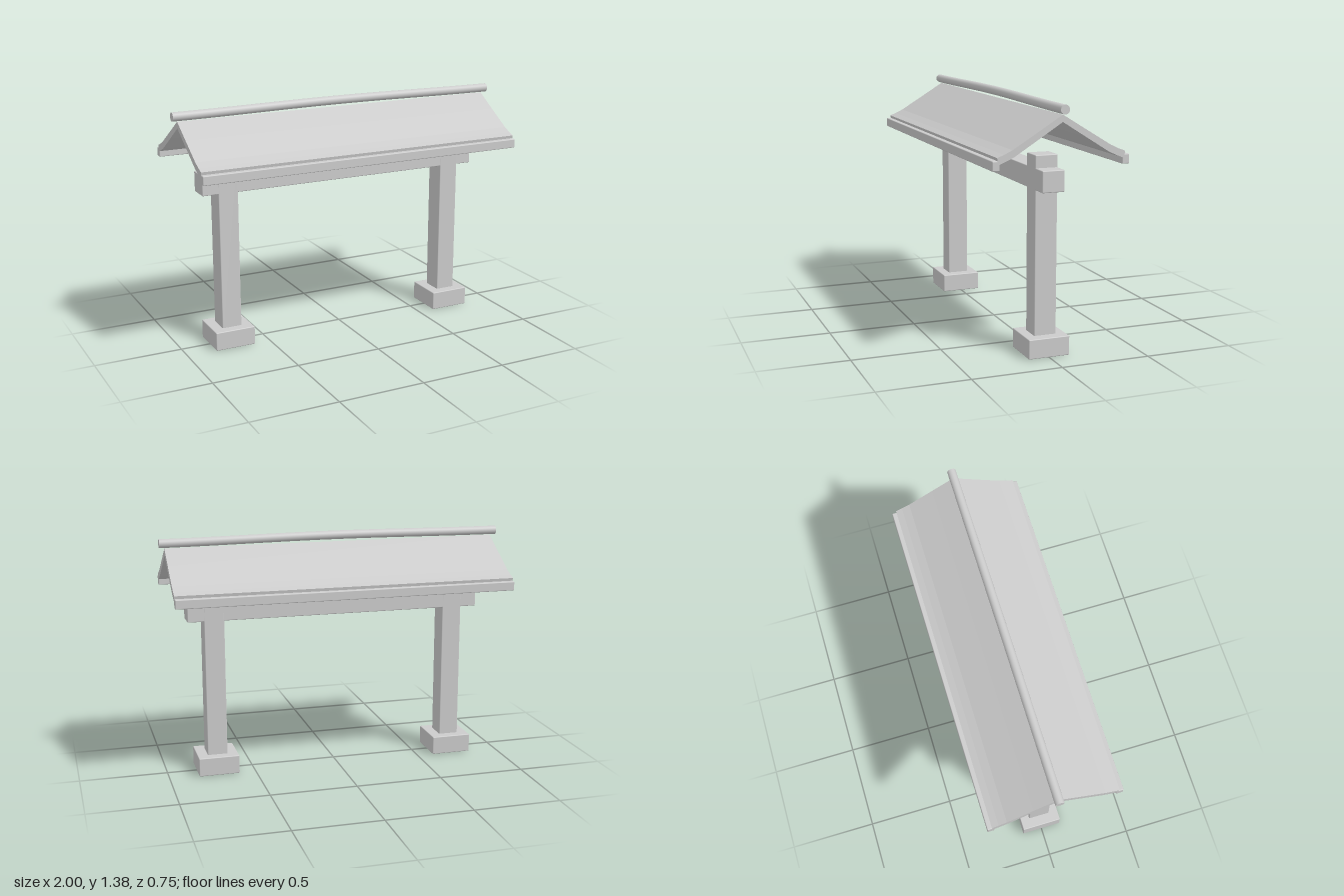
import * as THREE from 'three';
import { RoundedBoxGeometry } from 'three/addons/geometries/RoundedBoxGeometry.js';

const material = new THREE.MeshStandardMaterial({ color: 0xcccccc });

export function createModel() {
  const group = new THREE.Group();

  const add = (name, geometry, x = 0, y = 0, z = 0) => {
    const mesh = new THREE.Mesh(geometry, material);
    mesh.name = name;
    mesh.position.set(x, y, z);
    group.add(mesh);
    return mesh;
  };
  // Softly bevelled block given by its centre x, z and its bottom and top
  const block = (name, w, y0, y1, d, x = 0, z = 0) =>
    add(name, new RoundedBoxGeometry(w, y1 - y0, d, 2, 0.005), x, (y0 + y1) / 2, z);

  // Two posts on footings, joined by a crossbeam
  for (const [side, s] of [['left', 1], ['right', -1]]) {
    block(side + 'Footing', 0.235, 0, 0.108, 0.234, s * 0.713);
    block(side + 'Post', 0.116, 0.1, 1.083, 0.126, s * 0.713);
  }
  block('crossbeam', 1.728, 0.898, 1.014, 0.125);

  // Roof: bent slab with flared eaves, extruded along x
  const top = [[0, 1.313], [0.13, 1.233], [0.27, 1.148], [0.315, 1.127], [0.352, 1.113]];
  const under = [[0.345, 1.076], [0.31, 1.09], [0.263, 1.111], [0.13, 1.194], [0, 1.276]];
  const half = [...top, ...under];
  const mirrored = half.slice(1, -1).reverse().map(([z, y]) => [-z, y]);
  const profile = new THREE.Shape([...half, ...mirrored].map(([z, y]) => new THREE.Vector2(z, y)));
  const roof = new THREE.ExtrudeGeometry(profile, { depth: 1.94, bevelEnabled: false });
  roof.translate(0, 0, -0.97).rotateY(Math.PI / 2);
  add('roof', roof);

  // Eave rails along both lower edges
  for (const [side, s] of [['front', 1], ['back', -1]]) {
    block(side + 'EaveRail', 1.94, 1.045, 1.097, 0.04, 0, s * 0.357);
  }

  // Round ridge pole, rising slightly towards the middle
  const ridge = new THREE.CylinderGeometry(0.025, 0.025, 2, 20, 24);
  ridge.rotateZ(Math.PI / 2);
  const pos = ridge.attributes.position;
  for (let i = 0; i < pos.count; i++) {
    const rise = 0.009 * (0.5 + 0.5 * Math.cos(Math.PI * pos.getX(i)));
    pos.setY(i, pos.getY(i) + rise);
  }
  add('ridgePole', ridge, 0, 1.341, 0);

  return group;
}
